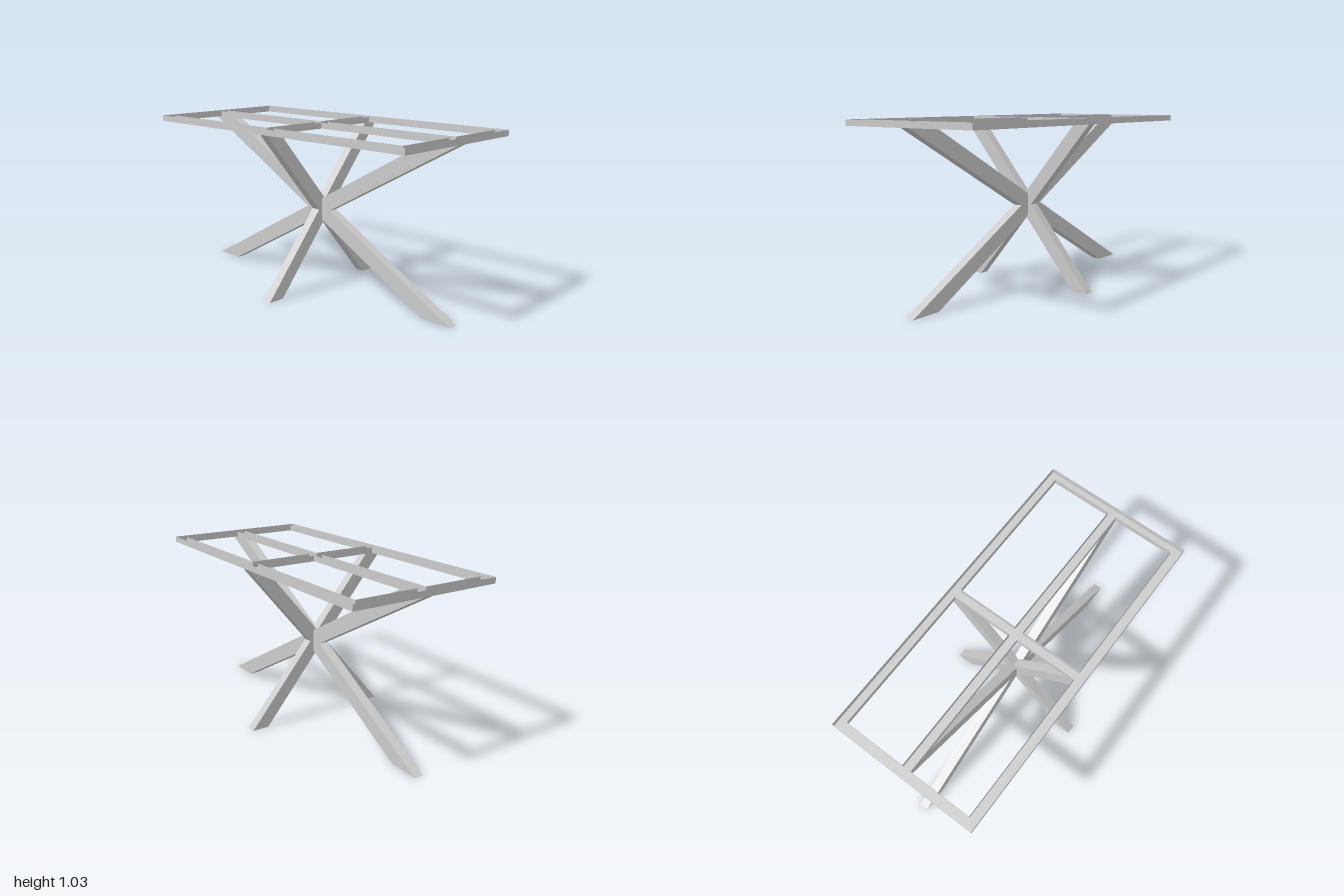
import * as THREE from 'three';

const FRAME_Y = 0.995, FRAME_H = 0.035;
const material = new THREE.MeshStandardMaterial({ color: 0xcccccc, flatShading: true, side: THREE.DoubleSide });

// Open-ended four-sided tube standing on y = 0, leaning by (leanX, leanZ) from foot to top
function tube(w, h, d, leanX = 0, leanZ = 0) {
  const g = new THREE.CylinderGeometry(Math.SQRT1_2, Math.SQRT1_2, h, 4, 1, true);
  g.rotateY(Math.PI / 4);
  g.scale(w, 1, d);
  g.applyMatrix4(new THREE.Matrix4().makeShear(0, 0, leanX / h, leanZ / h, 0, 0));
  return g.translate(leanX / 2, h / 2, leanZ / 2);
}

function addMesh(parent, name, geometry, x = 0, y = 0, z = 0) {
  const mesh = new THREE.Mesh(geometry, material);
  mesh.name = name;
  mesh.position.set(x, y, z);
  parent.add(mesh);
}

// Corner points of a rectangle in the x/z plane
const corners = ([x0, x1, z0, z1]) => [[x0, z0], [x1, z0], [x1, z1], [x0, z1]].map(p => new THREE.Vector2(...p));

export function createModel() {
  const model = new THREE.Group();
  model.name = 'tableFrame';

  // Crossed hollow legs, one pair across the width and one along the length
  const legs = new THREE.Group();
  legs.name = 'legs';
  model.add(legs);
  for (const s of [-1, 1]) {
    addMesh(legs, s > 0 ? 'leftSideLeg' : 'rightSideLeg', tube(0.104, FRAME_Y, 0.057, -s * 0.832), s * 0.416);
    addMesh(legs, s > 0 ? 'frontLeg' : 'backLeg', tube(0.057, FRAME_Y, 0.19, 0, -s * 1.81), 0, 0, s * 0.905);
  }

  // Top frame: open channels with a floor and upright walls around four openings
  const frame = new THREE.Group();
  frame.name = 'topFrame';
  frame.position.y = FRAME_Y;
  model.add(frame);

  const outer = [-0.47, 0.463, -1, 1];
  const openings = [];
  for (const [x0, x1] of [[-0.414, -0.031], [0.025, 0.407]])
    for (const [z0, z1] of [[-0.945, -0.028], [0.028, 0.945]]) openings.push([x0, x1, z0, z1]);

  const floor = new THREE.Shape(corners(outer));
  openings.forEach(o => floor.holes.push(new THREE.Path(corners(o))));
  addMesh(frame, 'channelFloor', new THREE.ShapeGeometry(floor).rotateX(Math.PI / 2));

  const addWall = (name, [x0, x1, z0, z1]) =>
    addMesh(frame, name, tube(x1 - x0, FRAME_H, z1 - z0), (x0 + x1) / 2, 0, (z0 + z1) / 2);
  addWall('outerWall', outer);
  openings.forEach((o, i) => addWall('openingWall' + (i + 1), o));

  return model;
}
